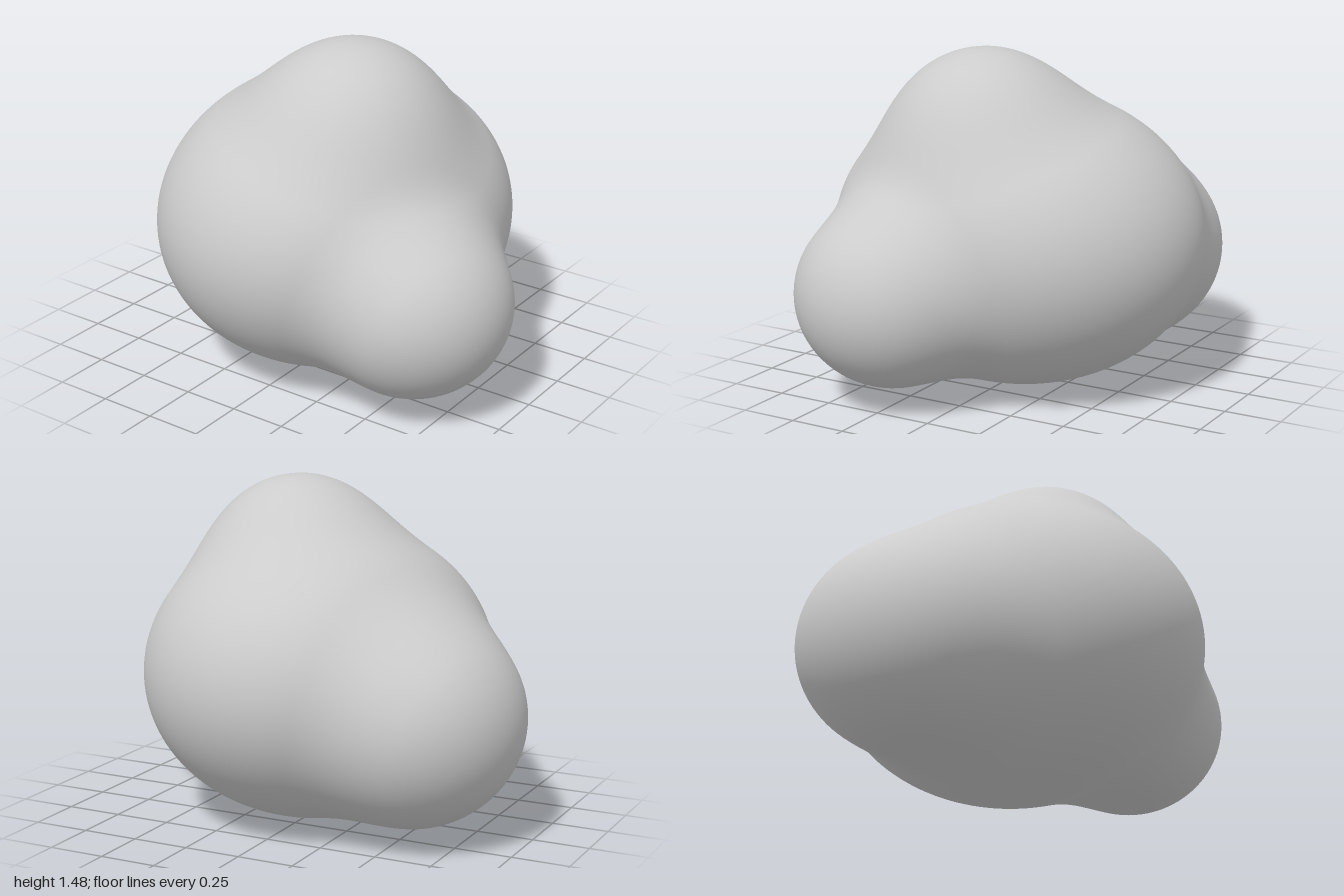
import * as THREE from 'three';
import { mergeVertices } from 'three/addons/utils/BufferGeometryUtils.js';

// Lobes of the blob: centre and radii
const core = { c: [0, 0.65, 0], r: [0.75, 0.65, 0.83] };
const lobes = [
  { c: [-0.53, 0.52, -0.19], r: [0.47, 0.46, 0.51] }, // right side
  { c: [0.58, 0.48, 0.27], r: [0.42, 0.4, 0.42] },    // left side
  { c: [0.14, 1.05, 0.08], r: [0.43, 0.43, 0.44] },   // top
];
const BLEND = 0.16;

// Approximate signed distance to an ellipsoid
function ellipsoid(p, { c, r }) {
  const d = [p.x - c[0], p.y - c[1], p.z - c[2]];
  const k0 = Math.hypot(d[0] / r[0], d[1] / r[1], d[2] / r[2]);
  const k1 = Math.hypot(d[0] / r[0] ** 2, d[1] / r[1] ** 2, d[2] / r[2] ** 2);
  return k1 < 1e-6 ? -Math.min(...r) : (k0 * (k0 - 1)) / k1;
}

function smoothMin(a, b) {
  const h = Math.max(BLEND - Math.abs(a - b), 0) / BLEND;
  return Math.min(a, b) - (h * h * BLEND) / 4;
}

const field = (p) => lobes.reduce((d, lobe) => smoothMin(d, ellipsoid(p, lobe)), ellipsoid(p, core));

export function createModel() {
  const group = new THREE.Group();

  // Fine icosphere with shared vertices for smooth normals
  let geometry = new THREE.IcosahedronGeometry(1, 40);
  geometry.deleteAttribute('uv');
  geometry.deleteAttribute('normal');
  geometry = mergeVertices(geometry, 1e-4);

  // Push each vertex out from the centre to the blended surface
  const centre = new THREE.Vector3(0.03, 0.62, 0.03);
  const pos = geometry.attributes.position;
  const dir = new THREE.Vector3();
  const p = new THREE.Vector3();
  for (let i = 0; i < pos.count; i++) {
    dir.fromBufferAttribute(pos, i).normalize();
    let near = 0, far = 1.6;
    for (let step = 0; step < 26; step++) {
      const mid = (near + far) / 2;
      if (field(p.copy(centre).addScaledVector(dir, mid)) < 0) near = mid;
      else far = mid;
    }
    pos.setXYZ(i, p.x, p.y, p.z);
  }
  geometry.computeVertexNormals();

  const blob = new THREE.Mesh(geometry, new THREE.MeshStandardMaterial({ color: 0xcccccc }));
  blob.name = 'blob';
  group.add(blob);
  return group;
}
